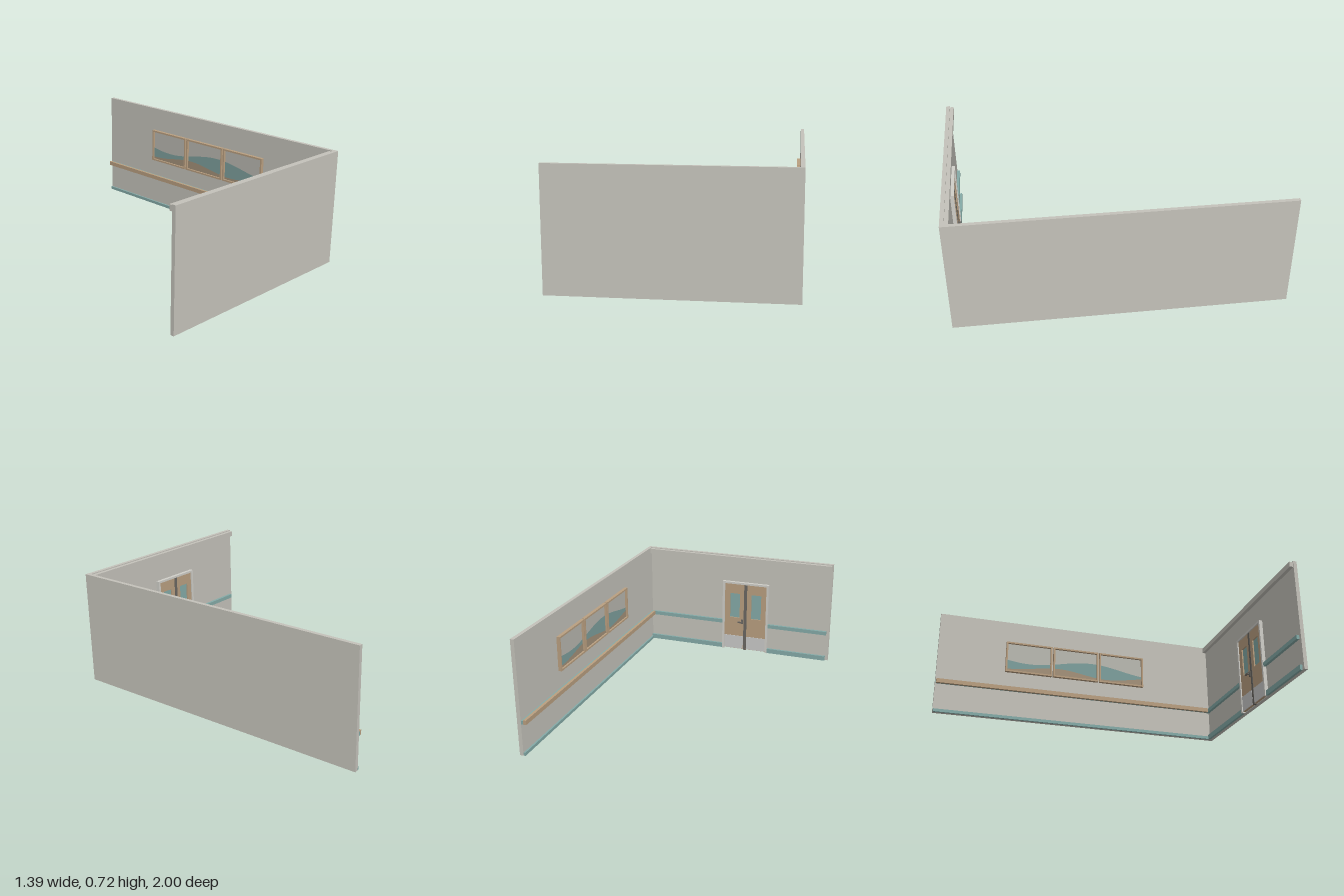
import * as THREE from 'three';

const material = (name, color, side = THREE.FrontSide) => {
  const m = new THREE.MeshStandardMaterial({ color, side });
  m.name = name;
  return m;
};

export function createModel() {
  const model = new THREE.Group();
  model.name = 'corridorCorner';
  const wall = material('warm grey wall', 0xc4c2ba);
  const trim = material('pale grey trim', 0xcfcec8);
  const wood = material('tan wood', 0xb99f80);
  const teal = material('muted teal', 0x84aaa7);
  const metal = material('dark metal', 0x6a6762);
  const steel = material('kick plate steel', 0xc9c9c8);
  const paper = material('mural sky', 0xb9b8b0);
  const hillTeal = material('mural teal', 0x7d9f9c);
  const hillBrown = material('mural brown', 0xa39079);

  const add = (parent, name, geometry, mat) => {
    const mesh = new THREE.Mesh(geometry, mat);
    mesh.name = name;
    parent.add(mesh);
    return mesh;
  };
  // Box given by its limits along each axis
  const box = (parent, name, mat, x0, x1, y0, y1, z0, z1) => {
    const mesh = add(parent, name, new THREE.BoxGeometry(x1 - x0, y1 - y0, z1 - z0), mat);
    mesh.position.set((x0 + x1) / 2, (y0 + y1) / 2, (z0 + z1) / 2);
    return mesh;
  };
  const rect = (Type, x0, x1, y0, y1) => new Type([
    new THREE.Vector2(x0, y0), new THREE.Vector2(x1, y0),
    new THREE.Vector2(x1, y1), new THREE.Vector2(x0, y1),
  ]);
  // Rectangular panel with a rectangular opening
  const framed = (outer, inner, depth) => {
    const shape = rect(THREE.Shape, ...outer);
    shape.holes.push(rect(THREE.Path, ...inner));
    return new THREE.ExtrudeGeometry(shape, { depth, bevelEnabled: false });
  };

  // Two walls meeting at the front left corner
  box(model, 'frontWall', wall, -0.695, 0.695, 0, 0.72, 0.976, 1);
  box(model, 'sideWall', wall, 0.671, 0.695, 0, 0.72, -1, 0.976);

  // Cornice along the inside of the front wall
  box(model, 'cornice', wall, -0.69, 0.671, 0.68, 0.714, 0.952, 0.976);

  // Rails and skirting on both sides of the doorway
  for (const [x0, x1] of [[-0.675, -0.243], [0.103, 0.671]]) {
    box(model, 'frontRail', teal, x0, x1, 0.198, 0.224, 0.957, 0.976);
    box(model, 'frontSkirting', teal, x0, x1, 0, 0.033, 0.96, 0.976);
  }

  // Handrail and skirting along the side wall
  box(model, 'sideHandrail', wood, 0.641, 0.659, 0.2, 0.228, -0.995, 0.957);
  box(model, 'handrailBacking', teal, 0.659, 0.671, 0.202, 0.225, -0.998, 0.957);
  box(model, 'sideSkirting', teal, 0.659, 0.671, 0, 0.02, -0.998, 0.96);

  // Double door
  const door = new THREE.Group();
  door.name = 'doubleDoor';
  door.position.x = -0.07;
  model.add(door);
  for (const s of [-1, 1]) {
    const span = (a, b) => (s > 0 ? [a, b] : [-b, -a]);
    box(door, 'doorJamb', trim, ...span(0.157, 0.173), 0, 0.525, 0.953, 0.976);
    const leaf = add(door, 'doorLeaf',
      framed([...span(0.011, 0.157), 0.006, 0.511], [...span(0.043, 0.118), 0.25, 0.437], 0.015), wood);
    leaf.position.z = 0.961;
    box(door, 'doorGlass', teal, ...span(0.043, 0.118), 0.25, 0.437, 0.97, 0.976);
    box(door, 'kickPlate', steel, ...span(0.013, 0.155), 0.008, 0.108, 0.958, 0.961);
  }
  box(door, 'doorLintel', trim, -0.157, 0.157, 0.511, 0.525, 0.953, 0.976);
  box(door, 'centreStrip', metal, -0.011, 0.011, 0.002, 0.511, 0.958, 0.976);

  // Lever handle
  box(door, 'handlePlate', metal, 0.016, 0.03, 0.205, 0.24, 0.956, 0.961);
  box(door, 'handleStem', metal, 0.019, 0.027, 0.218, 0.226, 0.943, 0.956);
  box(door, 'handleLever', metal, 0.014, 0.052, 0.217, 0.227, 0.938, 0.945);

  // Three framed panels, drawn in local x (along the wall) and turned to face inward
  const panels = new THREE.Group();
  panels.name = 'wallPanels';
  panels.rotation.y = -Math.PI / 2;
  panels.position.x = 0.671;
  model.add(panels);
  const [low, high, edge] = [0.34, 0.563, 0.011];
  const tealTop = (u) => 0.445 + 0.03 * Math.sin(u * 7 + 1);
  const brownTop = (u) => 0.385 + 0.02 * Math.sin(u * 9 + 3);
  // Filled area below a wavy line
  const hill = (u0, u1, top, bottom) => {
    const points = [new THREE.Vector2(u0, bottom), new THREE.Vector2(u1, bottom)];
    for (let i = 12; i >= 0; i--) {
      const u = u0 + (u1 - u0) * i / 12;
      points.push(new THREE.Vector2(u, top(u)));
    }
    return new THREE.ShapeGeometry(new THREE.Shape(points));
  };
  for (const start of [-0.535, -0.198, 0.139]) {
    const [u0, u1] = [start, start + 0.327];
    const inner = [u0 + edge, u1 - edge, low + edge, high - edge];
    add(panels, 'panelFrame', framed([u0, u1, low, high], inner, 0.022), wood);
    box(panels, 'panelBack', paper, ...inner, 0, 0.006);
    add(panels, 'panelHill', hill(inner[0], inner[1], tealTop, inner[2]), hillTeal).position.z = 0.008;
    add(panels, 'panelGround', hill(inner[0], inner[1], brownTop, inner[2]), hillBrown).position.z = 0.01;
  }
  return model;
}
